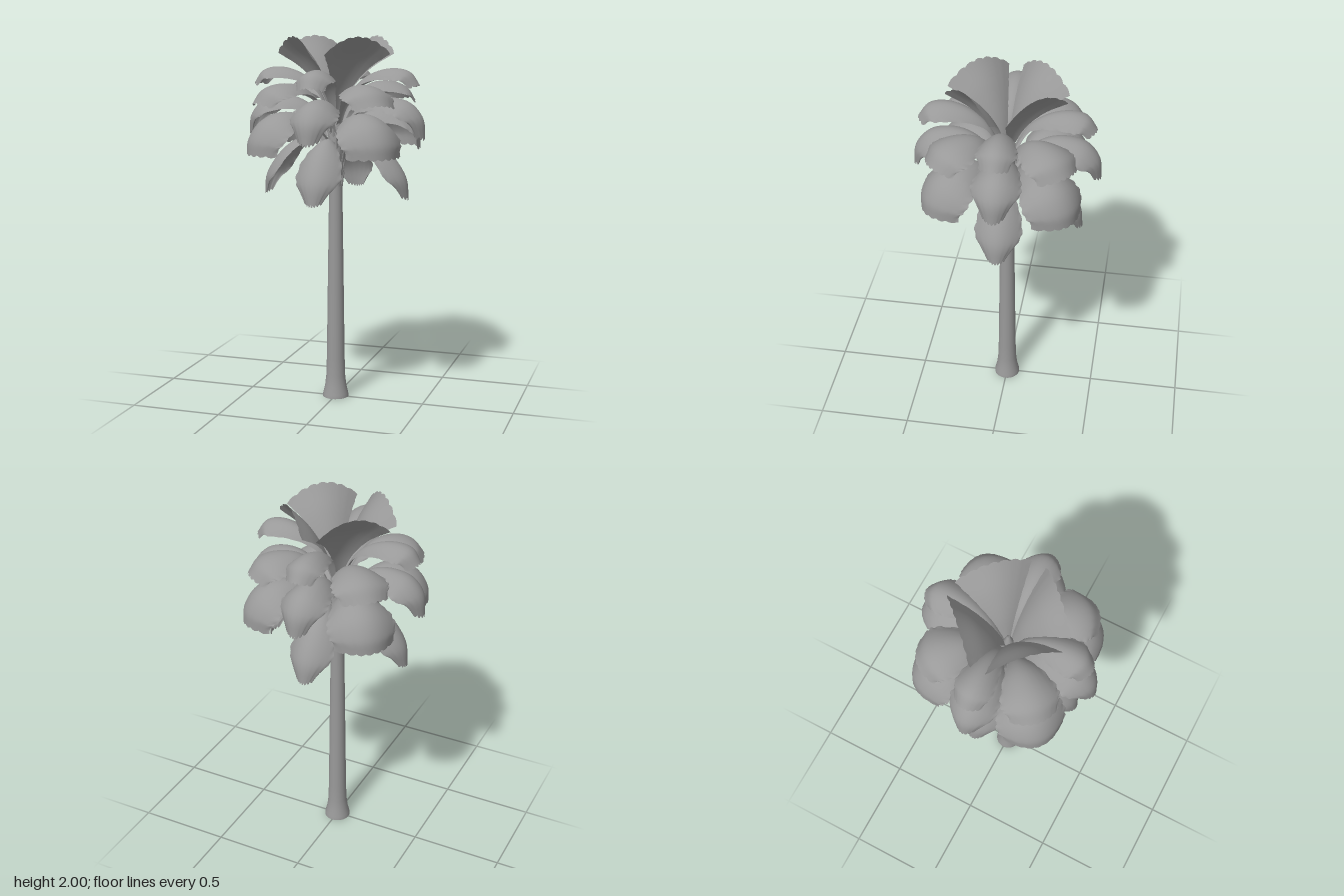
import * as THREE from 'three';

const grey = new THREE.MeshStandardMaterial({ color: 0x999999, side: THREE.DoubleSide });
grey.name = 'grey';

// Curved leaf growing along +z. spine rows: [reach, height, half width].
// droop curls the sides under, round shortens the corners of the tip.
function leafGeometry({ spine, droop, round, wave }) {
  const curve = new THREE.CatmullRomCurve3(spine.map(p => new THREE.Vector3(...p)));
  const rows = 28, cols = 28, pos = [], index = [];
  for (let i = 0; i <= rows; i++) {
    const t = i / rows;
    const width = curve.getPoint(t).z;
    // Sides curl straight down while the leaf rises, and inward where it hangs
    const tangent = curve.getTangent(t);
    const slope = Math.atan2(Math.min(tangent.y, 0), Math.abs(tangent.x));
    for (let j = 0; j <= cols; j++) {
      const u = (j / cols) * 2 - 1;
      const scallop = 0.02 * (1 - Math.abs(Math.cos(u * Math.PI * 3.5)));
      const p = curve.getPoint(t * (1 - round * u * u - scallop * t));
      const ripple = Math.abs(u) > 0.99 ? 1 + wave * Math.sin(t * 45) : 1;
      const curl = droop * width * u * u;
      pos.push(width * u * ripple, p.y - curl * Math.cos(slope), p.x + curl * Math.sin(slope));
      if (i < rows && j < cols) {
        const a = i * (cols + 1) + j, b = a + cols + 1;
        index.push(a, b, a + 1, b, b + 1, a + 1);
      }
    }
  }
  const g = new THREE.BufferGeometry();
  g.setAttribute('position', new THREE.Float32BufferAttribute(pos, 3));
  g.setIndex(index);
  g.computeVertexNormals();
  return g;
}

// Six tiers of four leaves, top to bottom, alternating diagonal and straight
const tiers = [
  { name: 'crownFan', diagonal: true, droop: 0.45, round: 0, wave: 0.01,
    spine: [[0.015, 1.58, 0.012], [0.07, 1.74, 0.055], [0.15, 1.88, 0.117], [0.253, 1.997, 0.192]] },
  { name: 'upperFrond', diagonal: false, droop: 0.6, round: 0.03, wave: 0.04,
    spine: [[0.02, 1.55, 0.012], [0.1, 1.72, 0.03], [0.2, 1.8, 0.065], [0.32, 1.83, 0.095], [0.41, 1.81, 0.1], [0.463, 1.74, 0.075]] },
  { name: 'upperDiagonalFrond', diagonal: true, droop: 0.45, round: 0.03, wave: 0.04,
    spine: [[0.02, 1.5, 0.012], [0.12, 1.67, 0.03], [0.22, 1.74, 0.09], [0.34, 1.75, 0.14], [0.42, 1.72, 0.145], [0.475, 1.65, 0.12]] },
  { name: 'middleFrond', diagonal: false, droop: 0.65, round: 0.04, wave: 0.04,
    spine: [[0.02, 1.45, 0.015], [0.1, 1.59, 0.025], [0.2, 1.66, 0.08], [0.3, 1.677, 0.11], [0.41, 1.65, 0.125], [0.48, 1.57, 0.122], [0.495, 1.45, 0.06]] },
  { name: 'lowerDiagonalFrond', diagonal: true, droop: 0.58, round: 0.02, wave: 0.03,
    spine: [[0.02, 1.42, 0.015], [0.12, 1.53, 0.03], [0.22, 1.59, 0.1], [0.34, 1.6, 0.155], [0.44, 1.55, 0.176], [0.5, 1.46, 0.176], [0.51, 1.38, 0.155]] },
  { name: 'lowerFrond', diagonal: false, droop: 0.6, round: 0.03, wave: 0.04,
    spine: [[0.02, 1.39, 0.015], [0.1, 1.45, 0.022], [0.18, 1.455, 0.055], [0.27, 1.41, 0.095], [0.345, 1.33, 0.12], [0.395, 1.24, 0.115], [0.408, 1.13, 0.05]] },
];

export function createModel() {
  const tree = new THREE.Group();
  tree.name = 'palmTree';

  // Flared hollow trunk that swells where the leaves attach
  const profile = [[0.072, 0], [0.07, 0.02], [0.06, 0.06], [0.053, 0.12], [0.05, 0.22], [0.044, 0.65],
    [0.036, 1.2], [0.04, 1.35], [0.044, 1.45], [0.036, 1.56], [0.008, 1.66]];
  const trunk = new THREE.Mesh(
    new THREE.LatheGeometry(profile.map(p => new THREE.Vector2(...p)), 24), grey);
  trunk.name = 'trunk';
  tree.add(trunk);

  // Pointed old leaf stubs around the top of the trunk
  const stubs = new THREE.Group();
  stubs.name = 'leafStubs';
  const stubGeometry = new THREE.ConeGeometry(0.018, 0.1, 5).scale(1, 1, 0.5)
    .rotateX(0.22).translate(0, 0, 0.042);
  for (let ring = 0; ring < 5; ring++) {
    for (let k = 0; k < 8; k++) {
      const stub = new THREE.Mesh(stubGeometry, grey);
      stub.name = 'leafStub';
      stub.position.y = 1.24 + ring * 0.06;
      stub.rotation.y = (k + (ring % 2) / 2) * Math.PI / 4;
      stubs.add(stub);
    }
  }
  tree.add(stubs);

  // Leaves
  for (const tier of tiers) {
    const geometry = leafGeometry(tier);
    const group = new THREE.Group();
    group.name = tier.name + 's';
    for (let k = 0; k < 4; k++) {
      const leaf = new THREE.Mesh(geometry, grey);
      leaf.name = tier.name;
      leaf.rotation.y = (k + (tier.diagonal ? 0.5 : 0)) * Math.PI / 2;
      group.add(leaf);
    }
    tree.add(group);
  }
  return tree;
}
